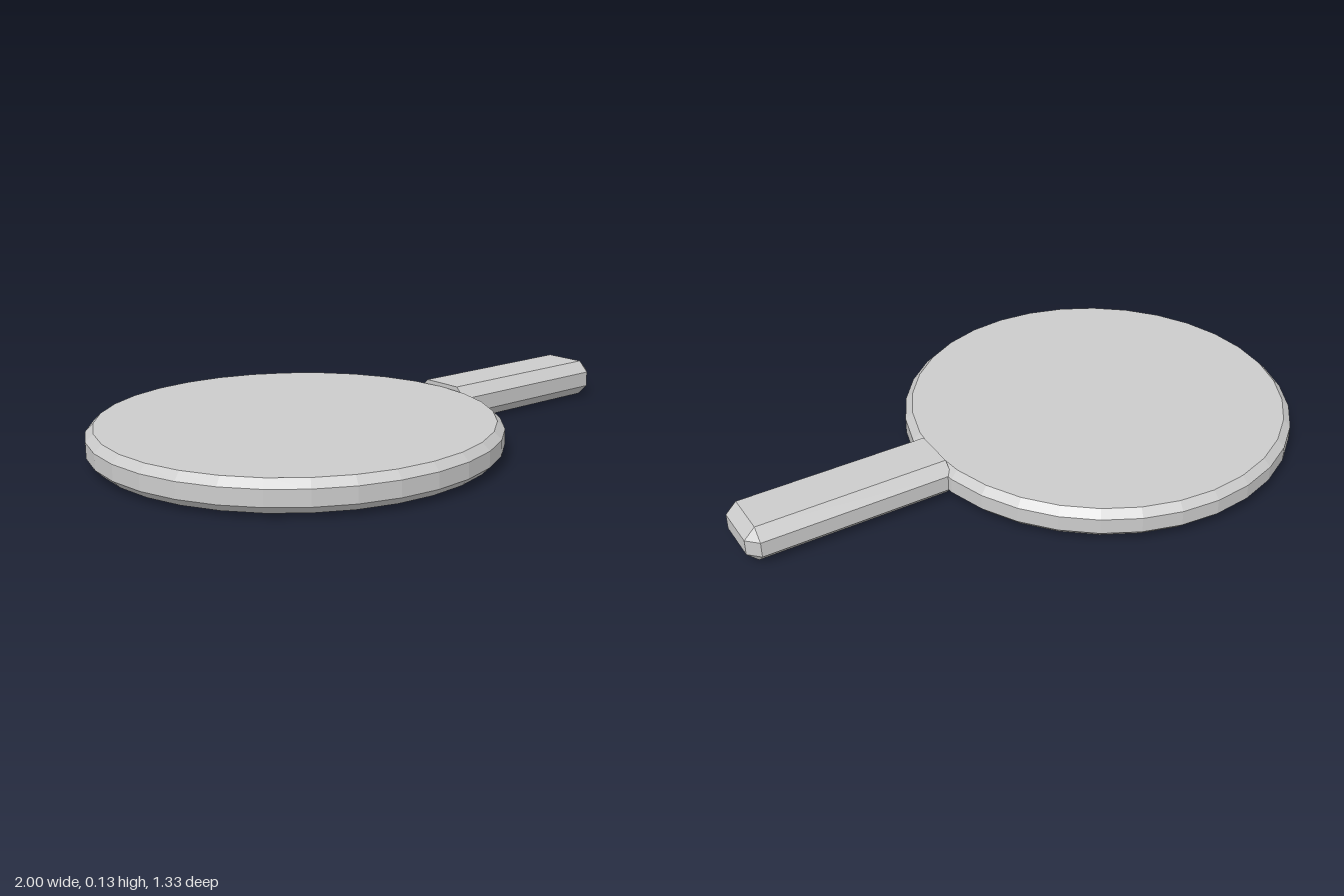
import * as THREE from 'three';
import { ConvexGeometry } from 'three/addons/geometries/ConvexGeometry.js';

export function createModel() {
  const group = new THREE.Group();
  const material = new THREE.MeshStandardMaterial({ color: 0xcccccc, flatShading: true });
  const midY = 0.0635;

  // Round blade: a flat disc with chamfered rims
  const radius = 0.667, halfThick = 0.051, rim = 0.025;
  const profile = [
    [0, -halfThick], [radius - rim, -halfThick], [radius, -halfThick + rim],
    [radius, halfThick - rim], [radius - rim, halfThick], [0, halfThick],
  ].map(([r, y]) => new THREE.Vector2(r, y));
  const blade = new THREE.Mesh(new THREE.LatheGeometry(profile, 32), material);
  blade.name = 'blade';
  blade.position.set(-0.333, midY, 0);
  group.add(blade);

  // Handle: a chamfered bar, flat where it meets the blade, bevelled at the free end
  const startX = 0.31, endX = 1, halfH = midY, halfW = 0.112, bevel = 0.037;
  const points = [];
  for (const sy of [-1, 1]) {
    for (const sz of [-1, 1]) {
      for (const x of [startX, endX - bevel]) {
        points.push(new THREE.Vector3(x, sy * halfH, sz * (halfW - bevel)));
        points.push(new THREE.Vector3(x, sy * (halfH - bevel), sz * halfW));
      }
      points.push(new THREE.Vector3(endX, sy * (halfH - bevel), sz * (halfW - bevel)));
    }
  }
  const handle = new THREE.Mesh(new ConvexGeometry(points), material);
  handle.name = 'handle';
  handle.position.y = midY;
  group.add(handle);

  return group;
}
